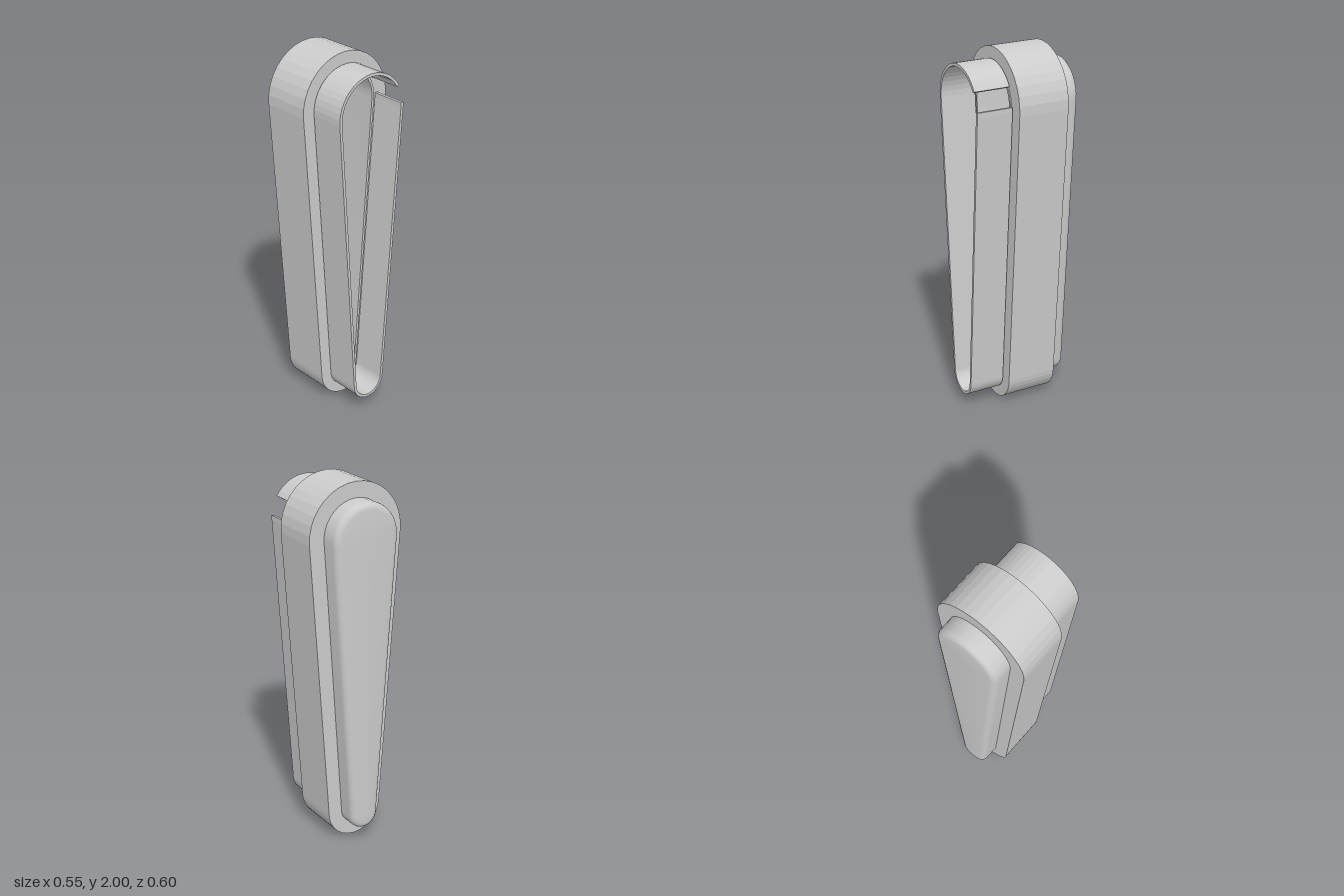
import * as THREE from 'three';
import { toCreasedNormals } from 'three/addons/utils/BufferGeometryUtils.js';

const TOP_Y = 1.727, LOW_Y = 0.163; // centres of the large and small end arcs
const LEAN = Math.asin(0.11 / (TOP_Y - LOW_Y)); // angle of the tapered sides

const point = (r, y, a) => new THREE.Vector2(r * Math.cos(a), y + r * Math.sin(a));

// Tapered outline, counter-clockwise from angle `start` on the top arc
function outline(R, r, start = -LEAN, n = 18) {
  const pts = [];
  for (let i = 0; i <= n; i++) {
    pts.push(point(R, TOP_Y, start + (Math.PI + LEAN - start) * i / n));
  }
  for (let i = 0; i <= n; i++) {
    pts.push(point(r, LOW_Y, Math.PI + LEAN + (Math.PI - 2 * LEAN) * i / n));
  }
  return pts;
}

function extrude(shape, z0, z1) {
  const g = new THREE.ExtrudeGeometry(shape, { depth: z1 - z0, bevelEnabled: false });
  return g.translate(0, 0, z0);
}

// Lofts outlines along a profile of [top radius, low radius, z]
function loft(profile) {
  const pos = [], idx = [];
  let n = 0;
  for (const [R, r, z] of profile) {
    const loop = outline(R, r);
    n = loop.length;
    for (const p of loop) pos.push(p.x, p.y, z);
  }
  for (let j = 0; j < profile.length - 1; j++) {
    for (let i = 0; i < n; i++) {
      const k = (i + 1) % n;
      const a = j * n + i, b = a + n, c = j * n + k, d = c + n;
      idx.push(a, b, c, b, d, c);
    }
  }
  const g = new THREE.BufferGeometry();
  g.setAttribute('position', new THREE.Float32BufferAttribute(pos, 3));
  g.setIndex(idx);
  return toCreasedNormals(g, 0.5);
}

// Quarter-round fillet between a wall of inset `wall` and a floor at `z`
function fillet(wall, z, rad, steps = 5) {
  const pts = [];
  for (let i = 0; i <= steps; i++) {
    const t = (i / steps) * Math.PI / 2;
    const inset = wall + rad * (1 - Math.cos(t));
    pts.push([0.19 - inset, 0.083 - inset, z + rad * (1 - Math.sin(t))]);
  }
  return pts; // wall first, floor last
}

export function createModel() {
  const group = new THREE.Group();
  const mat = new THREE.MeshStandardMaterial({ color: 0xcccccc });
  const add = (name, geo) => {
    const mesh = new THREE.Mesh(geo, mat);
    mesh.name = name;
    group.add(mesh);
  };

  // Wide band around the middle
  const band = new THREE.Shape(outline(0.275, 0.163));
  band.holes.push(new THREE.Path(outline(0.19, 0.083)));
  add('outerBand', extrude(band, -0.187, 0.096));

  // Deep hollow cup, open to the front with a rounded back
  add('innerCup', loft([
    [0, 0, -0.285],
    ...fillet(0.014, -0.285, 0.025).reverse(),
    [0.176, 0.069, 0.102],
    [0.19, 0.083, 0.102],
    ...fillet(0, -0.3, 0.036),
    [0, 0, -0.3],
  ]));

  // Thin front wall with a gap at its upper left
  const gapTop = 0.56, gapLow = 0.06;
  const outer = outline(0.212, 0.103, gapTop);
  outer.push(point(0.212, TOP_Y, -LEAN), point(0.212, TOP_Y, gapLow));
  const inner = outline(0.196, 0.087, gapTop);
  inner.push(point(0.196, TOP_Y, -LEAN), point(0.196, TOP_Y, gapLow));
  add('frontWall', extrude(new THREE.Shape([...outer, ...inner.reverse()]), 0.102, 0.3));

  return group;
}
